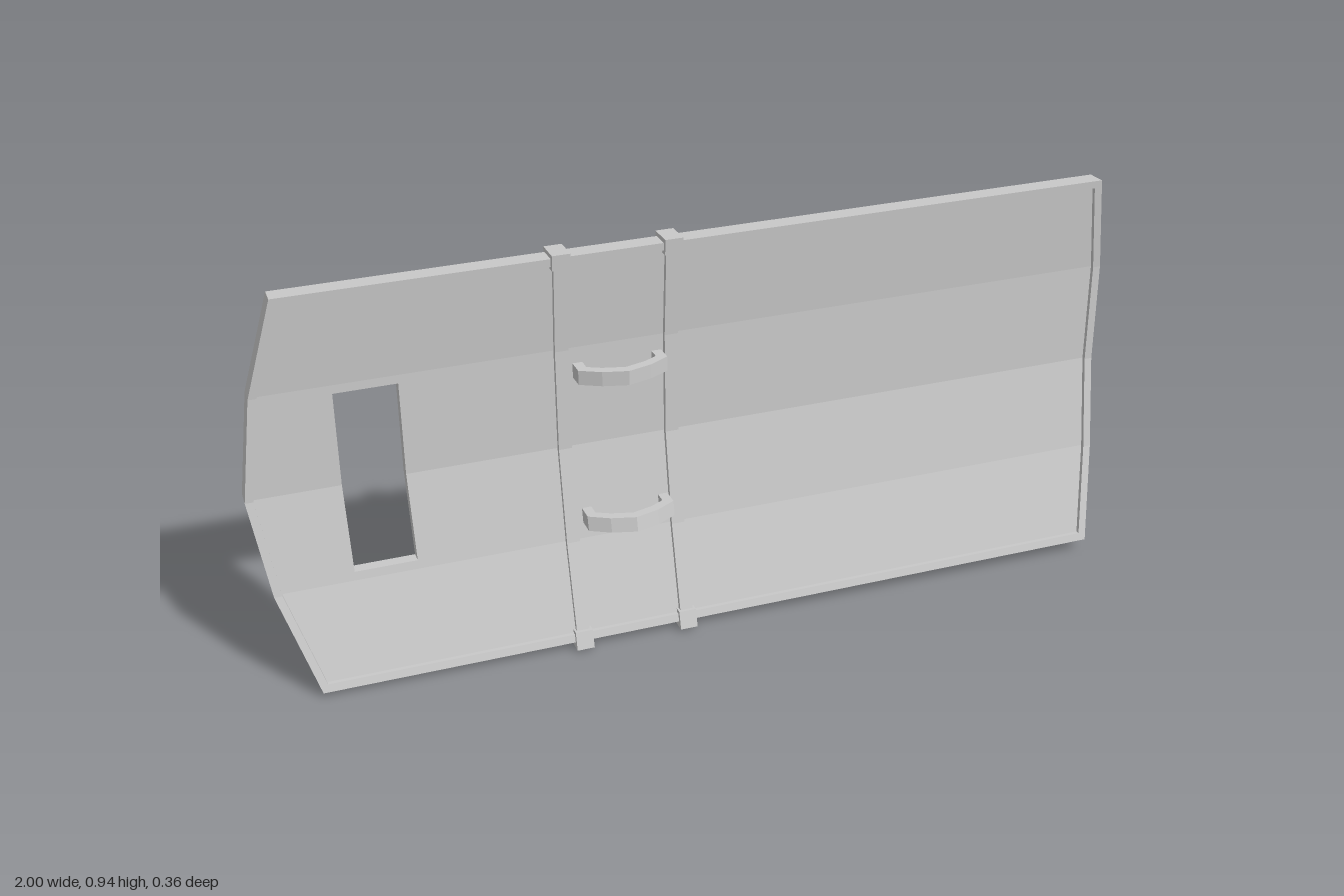
import * as THREE from 'three';

const material = new THREE.MeshStandardMaterial({ color: 0xcccccc, flatShading: true, side: THREE.DoubleSide });

// Bend lines of the shield from bottom to top: height, bow depth, left and right outline
const ROWS = [0.0185, 0.245, 0.465, 0.705, 0.93];
const BOW = [0.032, -0.033, -0.072, -0.072, -0.053];
const LEFT = [-0.9, -0.967, -0.995, -0.962, -0.9];
const RIGHT = [0.963, 0.995, 1.0, 0.996, 0.963];
const BOTTOM = ROWS[0], TOP = ROWS[4], RIM = 0.018, THICK = 0.05;

// Piecewise linear value at height y, continued past the ends
function at(values, y) {
  let i = 0;
  while (i < 3 && y > ROWS[i + 1]) i++;
  const t = (y - ROWS[i]) / (ROWS[i + 1] - ROWS[i]);
  return values[i] + t * (values[i + 1] - values[i]);
}

// Bends and tilts a geometry from (x, height, depth) into the leaning shield
function bend(geometry) {
  const p = geometry.attributes.position;
  for (let i = 0; i < p.count; i++) {
    const x = p.getX(i), y = p.getY(i), d = p.getZ(i);
    p.setXYZ(i, x - 0.1 * d, y + 0.01 * x + 0.08 * d, 0.107 * x + at(BOW, y) + d);
  }
  geometry.computeVertexNormals();
  return geometry;
}

export function createModel() {
  const group = new THREE.Group();

  function add(name, geometry) {
    const mesh = new THREE.Mesh(bend(geometry), material);
    mesh.name = name;
    group.add(mesh);
  }

  // Slab between two heights whose sides follow xl(y) and xr(y)
  function slab(name, y0, y1, xl, xr, d0, d1) {
    const stations = [y0, ...ROWS.filter(y => y > y0 + 1e-4 && y < y1 - 1e-4), y1];
    const n = stations.length - 1;
    const g = new THREE.BoxGeometry(1, 1, 1, 1, n, 1);
    const p = g.attributes.position;
    for (let i = 0; i < p.count; i++) {
      const y = stations[Math.round((p.getY(i) + 0.5) * n)];
      p.setXYZ(i, p.getX(i) < 0 ? xl(y) : xr(y), y, p.getZ(i) < 0 ? d0 : d1);
    }
    add(name, g);
  }

  const left = y => at(LEFT, y), right = y => at(RIGHT, y);
  const innerLeft = y => left(y) + RIM, innerRight = y => right(y) - RIM;
  const slotLeft = () => -0.79, slotRight = () => -0.652;
  const slotBottom = 0.265, slotTop = 0.685;

  // Recessed panel around the viewing slot
  const low = BOTTOM + RIM, high = TOP - RIM;
  slab('panelLeft', low, high, innerLeft, slotLeft, 0.01, 0.04);
  slab('panelRight', low, high, slotRight, innerRight, 0.01, 0.04);
  slab('panelBelowSlot', low, slotBottom, slotLeft, slotRight, 0.01, 0.04);
  slab('panelAboveSlot', slotTop, high, slotLeft, slotRight, 0.01, 0.04);

  // Raised rim
  slab('rimLeft', low, high, left, innerLeft, 0, THICK);
  slab('rimRight', low, high, innerRight, right, 0, THICK);
  slab('rimBottom', BOTTOM, low, left, right, 0, THICK);
  slab('rimTop', high, TOP, left, right, 0, THICK);

  // Two straps with clips over the rim
  for (const x of [-0.308, -0.062]) {
    const side = w => y => x + w - 0.1 * at(BOW, y);
    slab('strap', low, high, side(-0.015), side(0.015), 0.035, 0.052);
    slab('clipBottom', 0.004, 0.045, side(-0.02), side(0.02), -0.009, 0.06);
    slab('clipTop', 0.904, 0.94, side(-0.02), side(0.02), -0.009, 0.06);
  }

  // Two bowed grips between the straps
  const outer = [[-0.275, 0.035], [-0.275, 0.085], [-0.23, 0.113], [-0.175, 0.13], [-0.12, 0.113], [-0.075, 0.085], [-0.075, 0.035]];
  const inner = [[-0.097, 0.035], [-0.097, 0.072], [-0.127, 0.09], [-0.175, 0.105], [-0.223, 0.09], [-0.253, 0.072], [-0.253, 0.035]];
  const arc = new THREE.Shape([...outer, ...inner].map(([x, d]) => new THREE.Vector2(x, d)));
  for (const y of [0.299, 0.65]) {
    const g = new THREE.ExtrudeGeometry(arc, { depth: 0.034, bevelEnabled: false });
    g.rotateX(Math.PI / 2).translate(0, y + 0.017, 0);
    add('handle', g);
  }
  return group;
}
